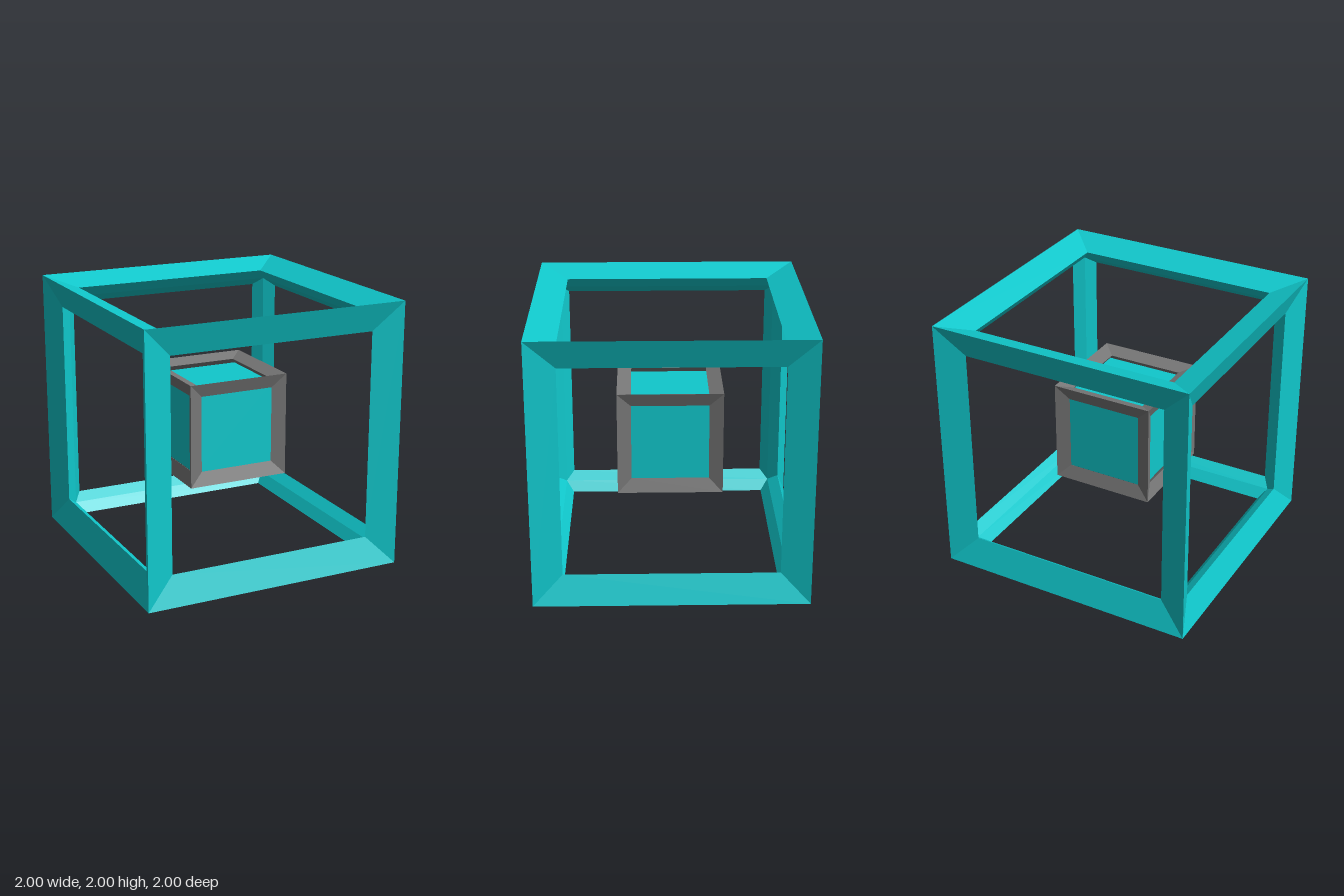
import * as THREE from 'three';
import { mergeGeometries } from 'three/addons/utils/BufferGeometryUtils.js';

// One mitred bar along x with a diamond section: [half length, y, z] of each corner
function barGeometry(outer, face, inset, inner) {
  const section = [
    [outer, outer, outer],
    [inset, inset, face],
    [inner, inner, inner],
    [inset, face, inset],
  ];
  const points = [];
  section.forEach(([ea, ya, za], k) => {
    const [eb, yb, zb] = section[(k + 1) % 4];
    const a = [-ea, ya, za], b = [-eb, yb, zb], c = [eb, yb, zb], d = [ea, ya, za];
    points.push(...a, ...b, ...c, ...a, ...c, ...d);
  });
  const geometry = new THREE.BufferGeometry();
  geometry.setAttribute('position', new THREE.Float32BufferAttribute(points, 3));
  geometry.computeVertexNormals();
  return geometry;
}

// Twelve bars: four around each axis
function cubeFrame(name, material, ...sizes) {
  const bars = [];
  for (let axis = 0; axis < 3; axis++) {
    for (let turn = 0; turn < 4; turn++) {
      const bar = barGeometry(...sizes).rotateX(turn * Math.PI / 2);
      if (axis === 1) bar.rotateZ(Math.PI / 2);
      if (axis === 2) bar.rotateY(Math.PI / 2);
      bars.push(bar);
    }
  }
  const mesh = new THREE.Mesh(mergeGeometries(bars), material);
  mesh.name = name;
  mesh.position.y = 1;
  return mesh;
}

export function createModel() {
  const teal = new THREE.MeshStandardMaterial({ color: 0x10c8cc, flatShading: true });
  const grey = new THREE.MeshStandardMaterial({ color: 0x777777, flatShading: true });
  const model = new THREE.Group();
  model.name = 'nestedCubes';

  // Large open frame and the small frame in its middle
  model.add(cubeFrame('outerFrame', teal, 1, 0.922, 0.784, 0.844));
  model.add(cubeFrame('innerFrame', grey, 0.39, 0.353, 0.287, 0.316));

  // Solid core, set slightly back in the small frame
  const core = new THREE.Mesh(new THREE.BoxGeometry(0.63, 0.63, 0.63), teal);
  core.name = 'core';
  core.position.y = 1;
  model.add(core);

  return model;
}
